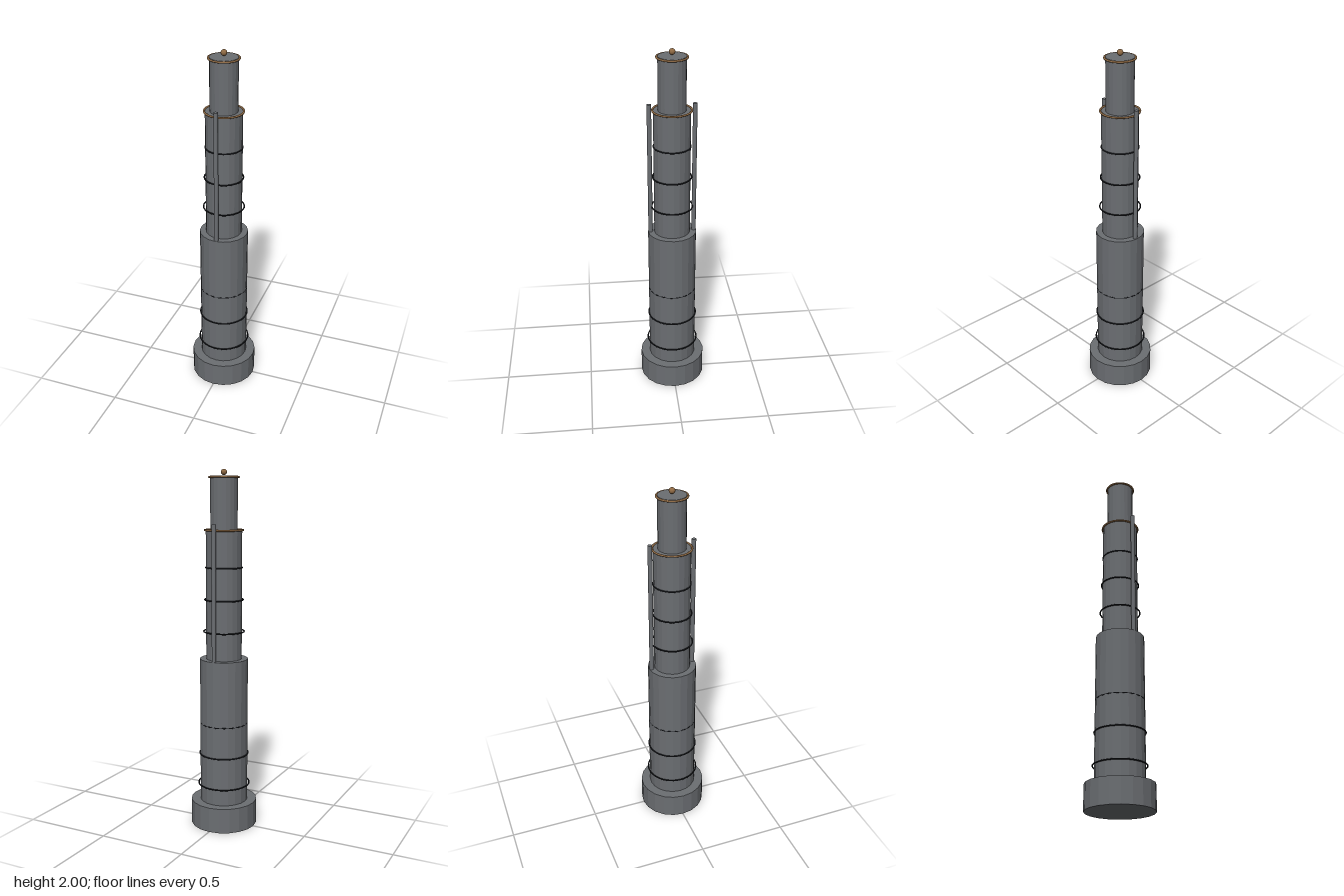
import * as THREE from 'three';

export function createModel() {
  const group = new THREE.Group();
  const mat = (name, color, flatShading = false) => {
    const m = new THREE.MeshStandardMaterial({ color, flatShading });
    m.name = name;
    return m;
  };
  const steel = mat('grey steel', 0x6b6e72, true);
  const black = mat('black rubber', 0x1c1e22);
  const brass = mat('brass', 0x8f6a44);

  const add = (name, geometry, material, x, y, z) => {
    const mesh = new THREE.Mesh(geometry, material);
    mesh.name = name;
    mesh.position.set(x, y, z);
    group.add(mesh);
    return mesh;
  };
  // upright cylinder between two heights
  const column = (name, r, y0, y1, sides, z = 0) =>
    add(name, new THREE.CylinderGeometry(r, r, y1 - y0, sides), steel, 0, (y0 + y1) / 2, z);
  // horizontal ring
  const ring = (name, r, tube, y, material) => {
    add(name, new THREE.TorusGeometry(r, tube, 8, 40).rotateX(Math.PI / 2), material, 0, y, 0);
  };

  // stepped tower
  column('base', 0.187, 0, 0.142, 20);
  column('lowerStage', 0.135, 0.142, 0.966, 20);
  column('middleStage', 0.1, 0.966, 1.676, 20);
  column('topStage', 0.075, 1.676, 1.962, 20);

  // bands that shrink with height
  for (let i = 0; i < 3; i++) {
    ring('lowerBand', 0.1445 - i * 0.0066, 0.004, 0.237 + i * 0.179, black);
    ring('middleBand', 0.1125 - i * 0.0062, 0.004, 1.12 + i * 0.177, black);
  }

  // brass rims and finial
  ring('middleRim', 0.104, 0.0055, 1.676, brass);
  ring('topRim', 0.08, 0.0055, 1.957, brass);
  add('finial', new THREE.SphereGeometry(0.0165, 16, 12), brass, 0, 1.9835, 0);

  // front and back rods
  for (const side of [1, -1]) column('sideRod', 0.012, 0.966, 1.71, 12, side * 0.121);

  return group;
}
